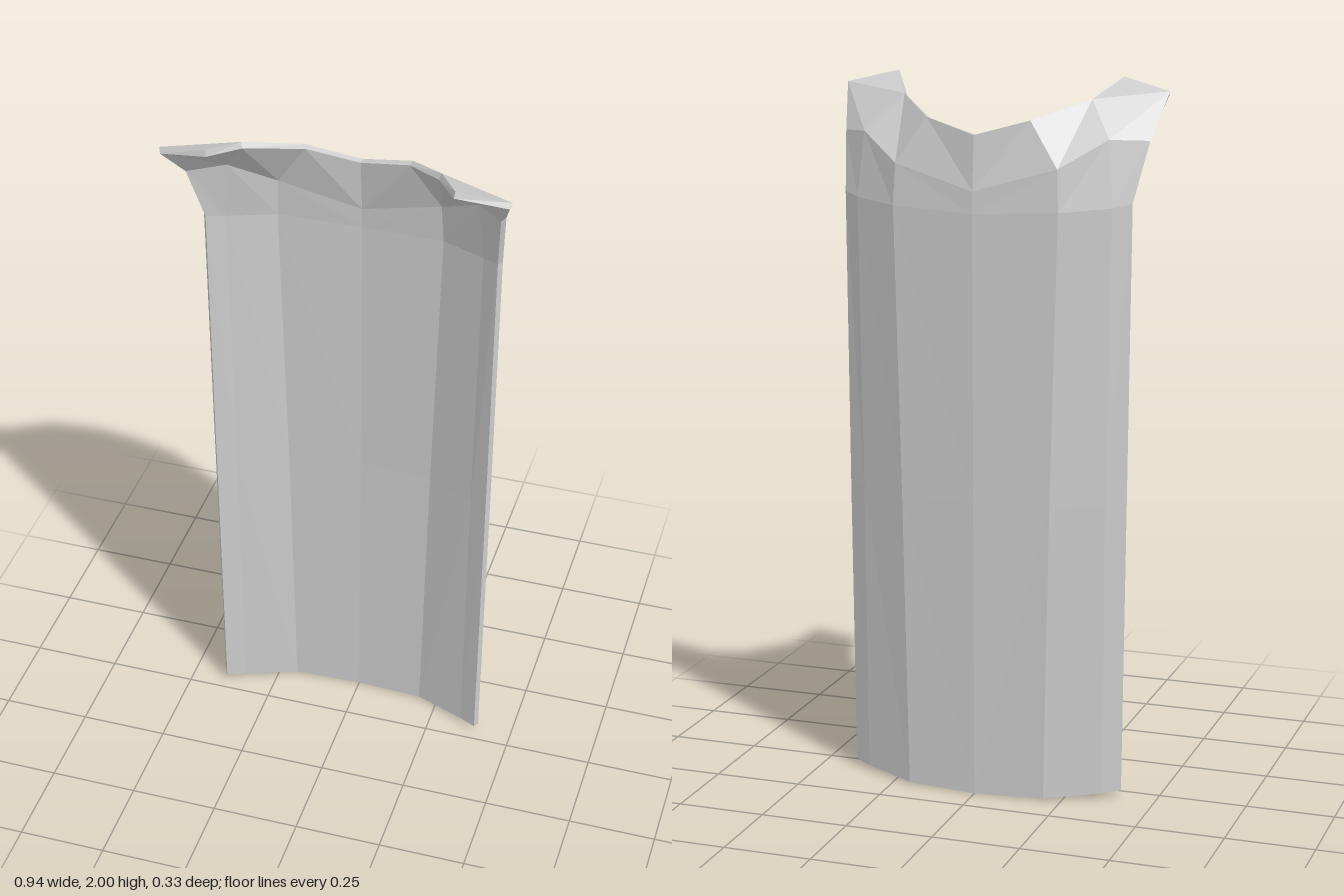
import * as THREE from 'three';

const THICKNESS = 0.018;

// Outer-surface points of one half, from the spine (column 0) to the side edge (column 3).
// s is the side: +1 for the model's left, -1 for its right.
function halfRows(s) {
  const L = s > 0;
  return [
    [[0, 0, -0.155], [0.2, 0.005, -0.142], [0.35, 0.015, -0.075], [0.4, 0.02, -0.047]],          // hem
    [[0, 0.85, -0.16], [0.215, 0.85, -0.145], [0.355, 0.85, -0.078], [0.407, 0.85, -0.048]],     // middle
    [[0, 1.65, -0.165], [0.235, 1.66, -0.145], [0.365, 1.67, -0.08], [0.413, 1.68, -0.047]],     // shoulder fold
    [[0, 1.71, -0.163], [0.23, 1.775, -0.138], [0.35, 1.85, -0.06], [L ? 0.427 : 0.447, 1.845, -0.003]], // collar base
    [[0, 1.86, -0.15], [0.147, 1.9, -0.115], [L ? 0.255 : 0.283, 1.95, 0.003], [0.468, 1.967, 0.115]],   // neck line
    [[0.33, 2.0, L ? 0.157 : 0.147]],                                                           // collar tip
  ].map(row => row.map(([x, y, z]) => [s * x, y, z]));
}

// Single sheet, facing outwards, with the spine points shared by both halves.
function sheet() {
  const points = [], index = [], spine = [];
  for (const s of [1, -1]) {
    const ids = halfRows(s).map((row, r) => row.map((p, c) => {
      if (c === 0 && r < 5) {
        if (s > 0) spine[r] = points.push(p) - 1;
        return spine[r];
      }
      return points.push(p) - 1;
    }));
    const tri = (a, b, c) => (s > 0 ? index.push(a, b, c) : index.push(a, c, b));
    for (let r = 0; r < 4; r++) {
      for (let c = 0; c < 3; c++) {
        const a = ids[r][c], b = ids[r][c + 1], d = ids[r + 1][c], e = ids[r + 1][c + 1];
        tri(a, d, e);
        tri(a, e, b);
      }
    }
    tri(ids[4][2], ids[5][0], ids[4][3]); // pointed collar end
  }
  return { points, index };
}

function build(triangles) {
  const geometry = new THREE.BufferGeometry();
  geometry.setAttribute('position', new THREE.Float32BufferAttribute(triangles.flat(), 3));
  geometry.computeVertexNormals();
  return geometry;
}

export function createModel() {
  const cloth = new THREE.MeshStandardMaterial({ color: 0xcccccc, flatShading: true });
  cloth.name = 'grey cloth';

  // Offset the sheet inwards along its normals for the lining
  const { points, index } = sheet();
  const smooth = new THREE.BufferGeometry();
  smooth.setAttribute('position', new THREE.Float32BufferAttribute(points.flat(), 3));
  smooth.setIndex(index);
  smooth.computeVertexNormals();
  const n = smooth.attributes.normal;
  const inner = points.map(([x, y, z], i) => [
    x - n.getX(i) * THICKNESS,
    Math.max(0, y - n.getY(i) * THICKNESS),
    z - n.getZ(i) * THICKNESS,
  ]);

  const outside = index.map(i => points[i]);
  const lining = [], rim = [], edges = new Set();
  for (let i = 0; i < index.length; i += 3) {
    const [a, b, c] = index.slice(i, i + 3);
    lining.push(inner[a], inner[c], inner[b]);
    for (const [p, q] of [[a, b], [b, c], [c, a]]) edges.add(`${p},${q}`);
  }

  // Close the open border between the two surfaces
  for (const edge of edges) {
    const [p, q] = edge.split(',').map(Number);
    if (edges.has(`${q},${p}`)) continue;
    rim.push(points[q], points[p], inner[p], points[q], inner[p], inner[q]);
  }

  const cape = new THREE.Group();
  cape.name = 'cape';
  for (const [name, triangles] of [['outerCloth', outside], ['lining', lining], ['hemRim', rim]]) {
    const mesh = new THREE.Mesh(build(triangles), cloth);
    mesh.name = name;
    cape.add(mesh);
  }
  return cape;
}
